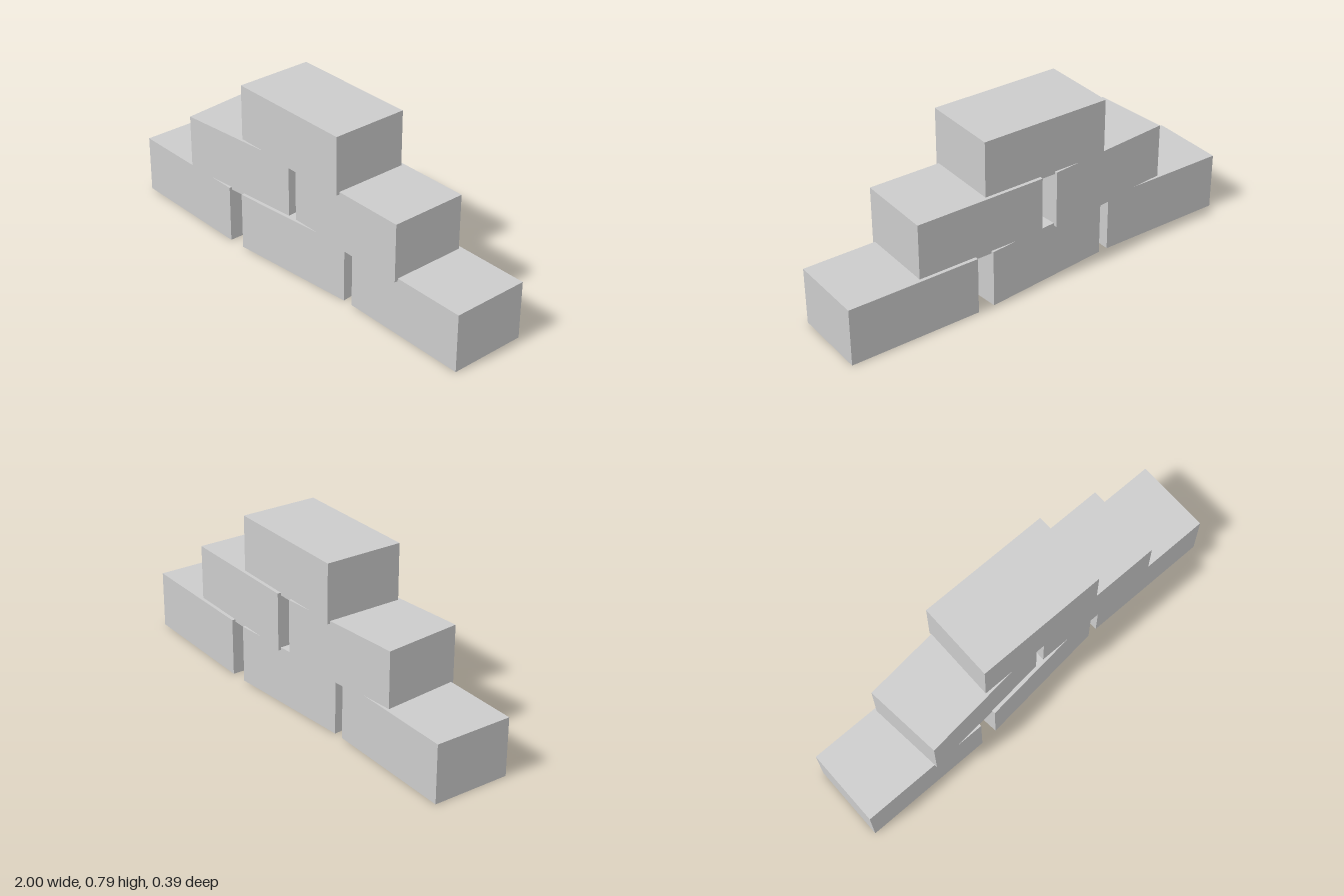
import * as THREE from 'three';

export function createModel() {
  const group = new THREE.Group();
  const stone = new THREE.MeshStandardMaterial({ color: 0xcccccc });
  stone.name = 'light grey stone';

  // One block shape, laid in three courses that overlap slightly
  const height = 0.27, pitch = 0.258, twist = 0.048;
  const geometry = new THREE.BoxGeometry(0.619, height, 0.362);

  // Each course lists its blocks as [x centre, direction of the slight twist]
  const courses = [
    { name: 'bottomBlock', blocks: [[-0.682, -1], [0, 1], [0.682, -1]] },
    { name: 'middleBlock', blocks: [[-0.341, 1], [0.338, -1]] },
    { name: 'topBlock', blocks: [[-0.002, -1]] },
  ];

  courses.forEach(({ name, blocks }, row) => {
    blocks.forEach(([x, turn], i) => {
      const block = new THREE.Mesh(geometry, stone);
      block.name = name + (i + 1);
      block.position.set(x, height / 2 + row * pitch, 0);
      block.rotation.y = turn * twist;
      group.add(block);
    });
  });

  return group;
}
